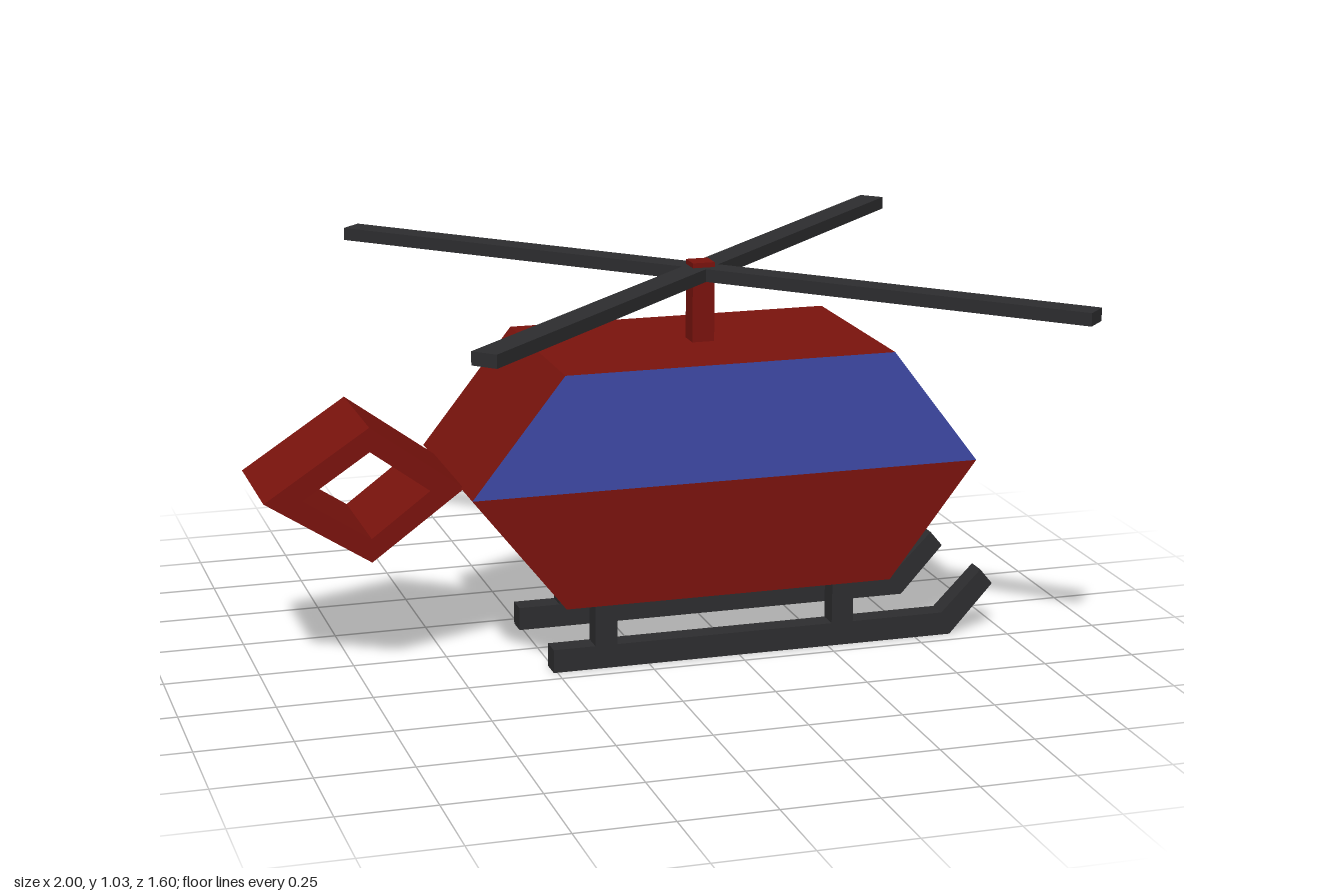
import * as THREE from 'three';

const paint = (color) => new THREE.MeshStandardMaterial({ color, flatShading: true });
const red = paint(0x7a130d);
const blue = paint(0x3e49a6);
const black = paint(0x2d2d2f);

function add(parent, name, geometry, material, x = 0, y = 0, z = 0) {
  const mesh = new THREE.Mesh(geometry, material);
  mesh.name = name;
  mesh.position.set(x, y, z);
  parent.add(mesh);
  return mesh;
}

// Side profile (x, y) extruded across z, centred on z = 0
function slab(points, depth, hole) {
  const toVectors = (list) => list.map(([x, y]) => new THREE.Vector2(x, y));
  const shape = new THREE.Shape(toVectors(points));
  if (hole) shape.holes.push(new THREE.Path(toVectors(hole)));
  return new THREE.ExtrudeGeometry(shape, { depth, bevelEnabled: false }).translate(0, 0, -depth / 2);
}

// Flat panel from four corners, counter-clockwise seen from outside
function panel(a, b, c, d) {
  const geometry = new THREE.BufferGeometry();
  geometry.setAttribute('position', new THREE.Float32BufferAttribute([...a, ...b, ...c, ...d], 3));
  geometry.setIndex([0, 1, 2, 0, 2, 3]);
  geometry.computeVertexNormals();
  return geometry;
}

function buildCabin() {
  const cabin = new THREE.Group();
  cabin.name = 'cabin';
  const half = 0.28;
  // Hexagonal outline, counter-clockwise from the tail end
  const outline = [[-0.49, 0.508], [-0.245, 0.198], [0.643, 0.198], [0.88, 0.508], [0.643, 0.818], [-0.245, 0.818]];
  const at = (i, z) => [...outline[i % 6], z];
  const names = ['lowerTailPanel', 'floor', 'lowerNose', 'windshield', 'roof', 'upperTailPanel'];
  names.forEach((name, i) => {
    const geometry = panel(at(i, half), at(i, -half), at(i + 1, -half), at(i + 1, half));
    add(cabin, name, geometry, name === 'windshield' ? blue : red);
  });
  // Lower red sides and upper blue windows
  for (const [label, z] of [['front', half], ['back', -half]]) {
    for (const [name, ids, material] of [['Side', [0, 1, 2, 3], red], ['Window', [0, 3, 4, 5], blue]]) {
      const order = z > 0 ? ids : [...ids].reverse();
      add(cabin, label + name, panel(...order.map((i) => at(i, z))), material);
    }
  }
  return cabin;
}

function buildSkid(z) {
  const skid = new THREE.Group();
  skid.name = 'skid';
  const runner = [[-0.26, 0], [0.85, 0], [0.97, 0.133], [0.935, 0.175], [0.825, 0.063], [-0.26, 0.063]];
  add(skid, 'runner', slab(runner, 0.058), black);
  for (const x of [-0.117, 0.54]) {
    add(skid, 'strut', new THREE.BoxGeometry(0.06, 0.16, 0.058), black, x, 0.12, 0);
  }
  skid.position.z = z;
  return skid;
}

function buildRotor() {
  const rotor = new THREE.Group();
  rotor.name = 'rotor';
  add(rotor, 'mast', new THREE.BoxGeometry(0.06, 0.22, 0.06), red, 0, 0.92, 0);
  for (const angle of [Math.PI / 4, -Math.PI / 4]) {
    add(rotor, 'blade', new THREE.BoxGeometry(2.193, 0.034, 0.07), black, 0, 1, 0).rotation.y = angle;
  }
  rotor.position.x = 0.2;
  return rotor;
}

export function createModel() {
  const model = new THREE.Group();
  model.name = 'helicopter';
  model.add(buildCabin(), buildRotor(), buildSkid(0.175), buildSkid(-0.183));

  // Open diamond tail
  const outer = [[-1, 0.508], [-0.725, 0.33], [-0.48, 0.508], [-0.725, 0.687]];
  const inner = [[-0.9, 0.508], [-0.725, 0.393], [-0.57, 0.508], [-0.725, 0.623]];
  add(model, 'tail', slab(outer, 0.325, inner), red, 0, 0, -0.007);
  return model;
}
